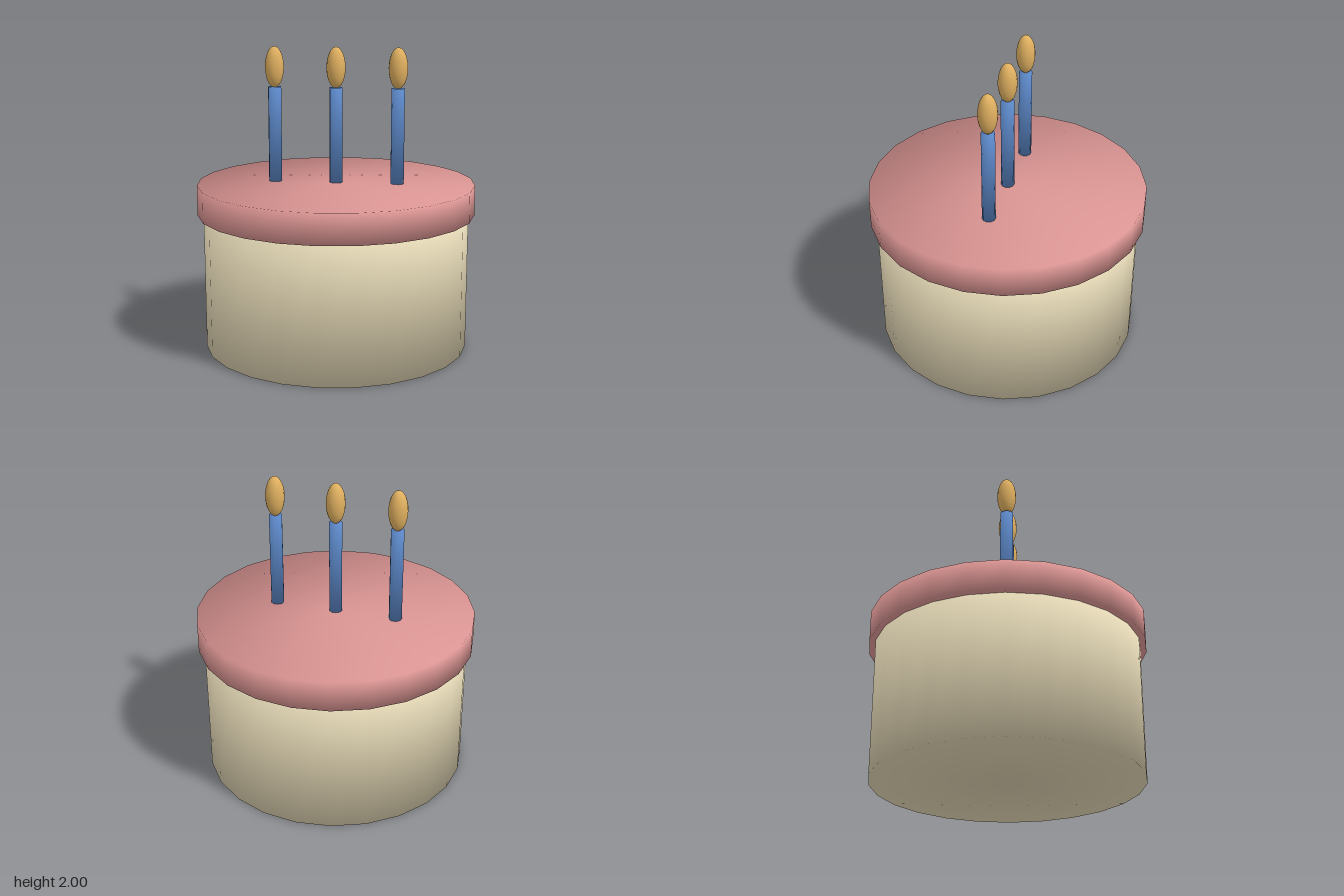
import * as THREE from 'three';

const material = (name, color) => {
  const m = new THREE.MeshStandardMaterial({ color });
  m.name = name;
  return m;
};

// Closed cylinder standing on y = bottom, its normals rounded over both rims
function softCylinder(radius, bottom, top, sides) {
  const geo = new THREE.CylinderGeometry(radius, radius, top - bottom, sides);
  geo.rotateY(Math.PI / 2);
  const pos = geo.attributes.position;
  const n = new THREE.Vector3();
  for (let i = 0; i < pos.count; i++) {
    n.set(pos.getX(i) / radius, Math.sign(pos.getY(i)), pos.getZ(i) / radius).normalize();
    geo.attributes.normal.setXYZ(i, n.x, n.y, n.z);
  }
  geo.translate(0, (bottom + top) / 2, 0);
  return geo;
}

export function createModel() {
  const cream = material('cream sponge', 0xe0d4b2);
  const pink = material('pink frosting', 0xd99492);
  const blue = material('blue wax', 0x5a85c4);
  const gold = material('golden flame', 0xe0b060);

  const cake = new THREE.Group();
  cake.name = 'birthdayCake';
  const add = (parent, name, geo, mat) => {
    const mesh = new THREE.Mesh(geo, mat);
    mesh.name = name;
    parent.add(mesh);
  };

  // Sponge body and the wider frosting disc on it
  add(cake, 'sponge', softCylinder(0.88, 0, 0.905, 24), cream);
  add(cake, 'frosting', softCylinder(0.92, 0.905, 1.105, 24), pink);

  // Three candles in a row, each with a tall egg-shaped flame
  const wax = softCylinder(0.044, 1.105, 1.735, 10);
  const flame = new THREE.SphereGeometry(1, 16, 12);
  flame.scale(0.063, 0.135, 0.063);
  flame.translate(0, 1.865, 0);
  [['rightCandle', -0.407], ['middleCandle', 0], ['leftCandle', 0.407]].forEach(([name, x]) => {
    const candle = new THREE.Group();
    candle.name = name;
    candle.position.x = x;
    add(candle, 'candleStick', wax, blue);
    add(candle, 'flame', flame, gold);
    cake.add(candle);
  });
  return cake;
}
